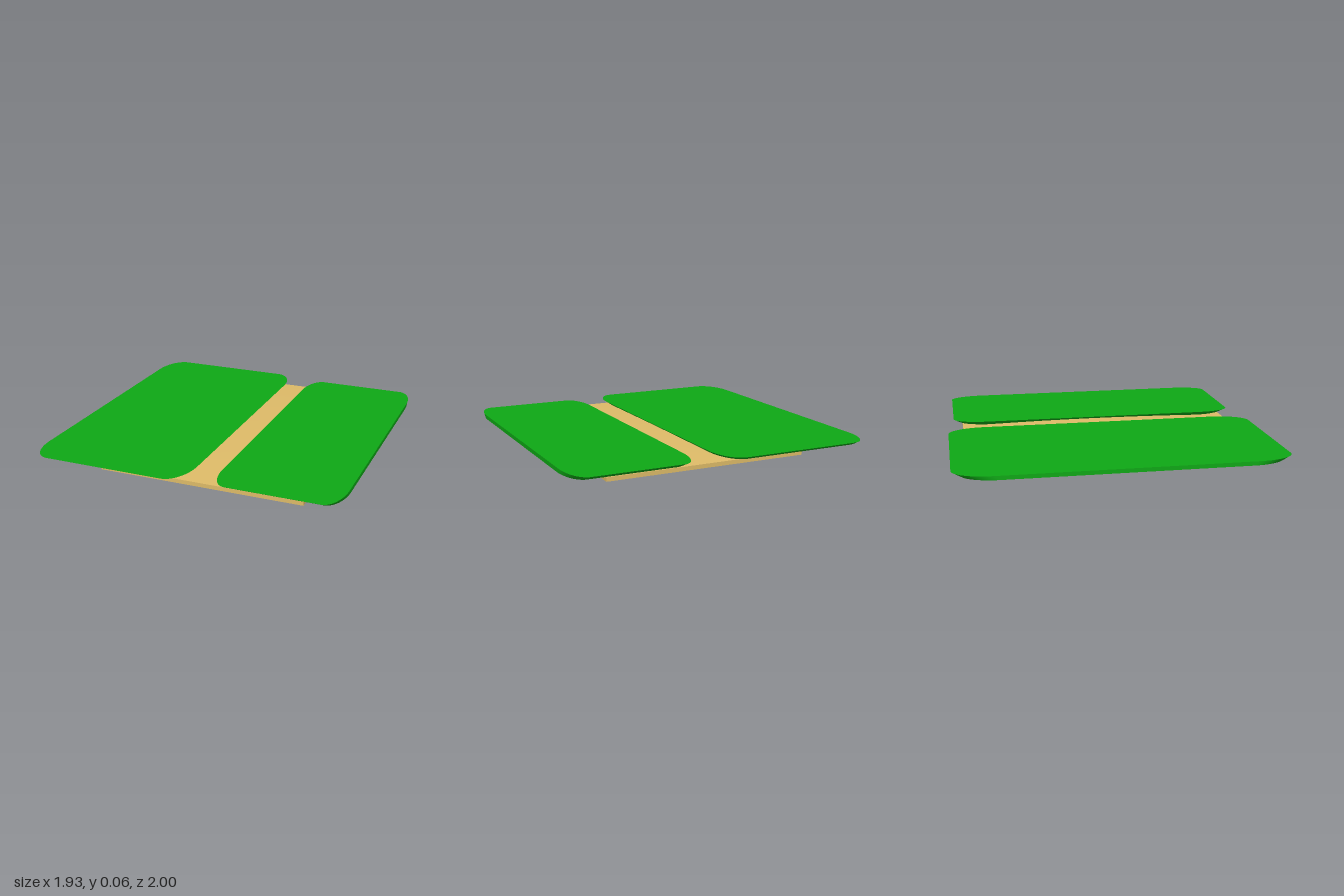
import * as THREE from 'three';

const green = new THREE.MeshStandardMaterial({ color: 0x0ea815 });
const tan = new THREE.MeshStandardMaterial({ color: 0xdebb68 });

// Flat slab with elliptical corners; its underside draws in from the ends and the inner edge
function slab(name, x0, x1, halfZ, rx, rz, y0, y1, outerX) {
  const s = new THREE.Shape();
  const q = Math.PI / 2;
  const corners = [[x1 - rx, halfZ - rz, 0], [x0 + rx, halfZ - rz, q],
    [x0 + rx, rz - halfZ, 2 * q], [x1 - rx, rz - halfZ, 3 * q]];
  s.moveTo(x1, halfZ - rz);
  for (const [cx, cz, a] of corners) s.absellipse(cx, cz, rx, rz, a, a + q, false, 0);
  s.closePath();

  const geo = new THREE.ExtrudeGeometry(s, { depth: y1 - y0, bevelEnabled: false, curveSegments: 16 });
  geo.rotateX(-q).translate(0, y0, 0);
  const p = geo.attributes.position;
  for (let i = 0; i < p.count; i++) {
    if (p.getY(i) > (y0 + y1) / 2) continue;
    p.setX(i, outerX + (p.getX(i) - outerX) * 0.965);
    p.setZ(i, p.getZ(i) * 0.95);
  }
  geo.computeVertexNormals();
  const mesh = new THREE.Mesh(geo, green);
  mesh.name = name;
  return mesh;
}

export function createModel() {
  const model = new THREE.Group();
  model.name = 'twinFieldTile';

  // Ground strip: thin plate with a gently crowned top
  const geo = new THREE.BoxGeometry(1.275, 0.025, 1.8, 16, 1, 24);
  geo.translate(0.1125, 0.0125, 0);
  const p = geo.attributes.position;
  for (let i = 0; i < p.count; i++) {
    if (p.getY(i) < 0.02) continue;
    const u = (p.getX(i) - 0.1125) / 0.6375;
    const v = p.getZ(i) / 0.9;
    p.setY(i, 0.025 + 0.021 * (1 - u * u) * (1 - v * v));
  }
  geo.computeVertexNormals();
  const ground = new THREE.Mesh(geo, tan);
  ground.name = 'groundStrip';

  model.add(
    ground,
    slab('wideGrassSlab', -0.97, 0.05, 1, 0.13, 0.23, 0.037, 0.062, -0.97),
    slab('narrowGrassSlab', 0.2, 0.965, 0.96, 0.1, 0.22, 0.032, 0.058, 0.965),
  );
  return model;
}
